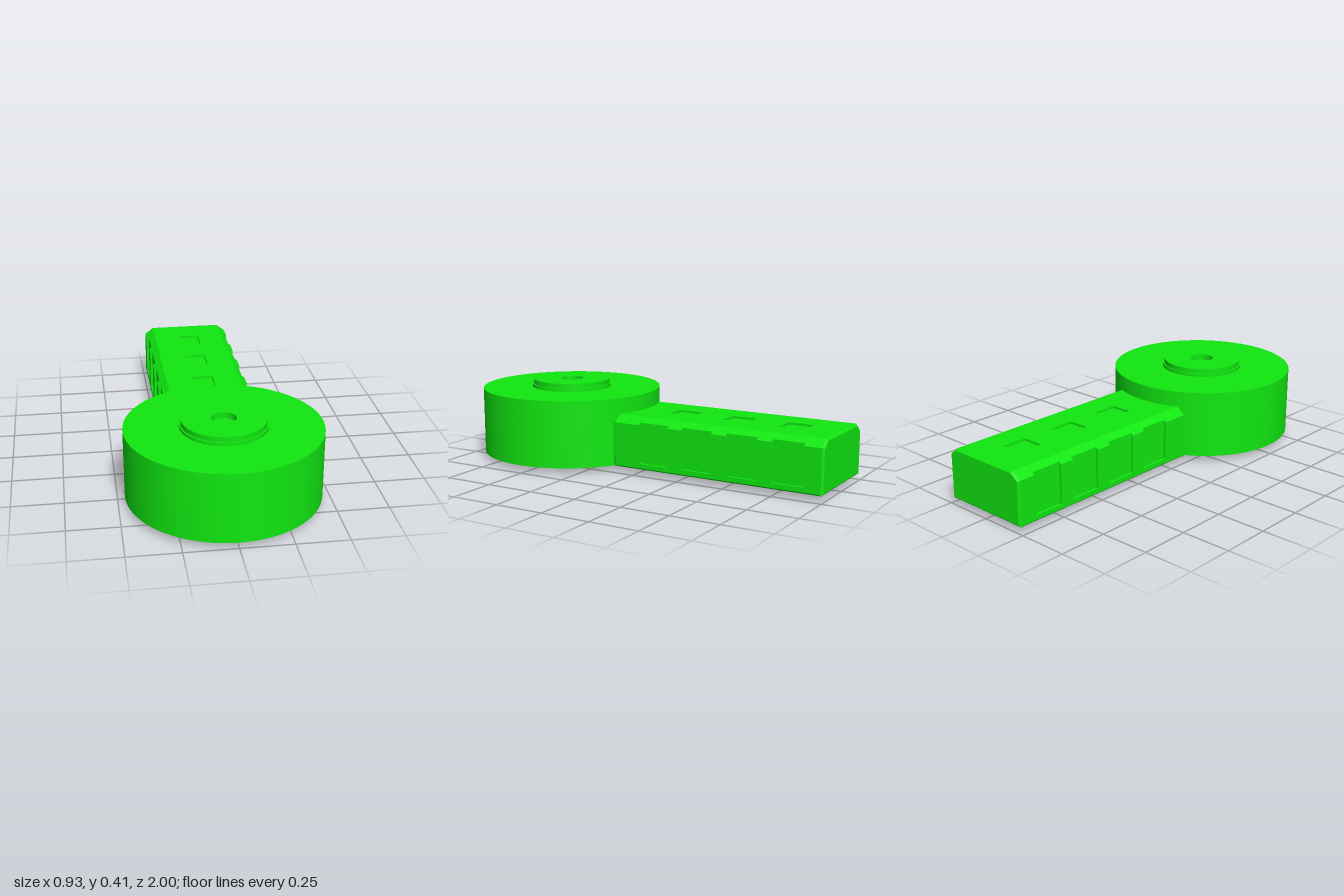
import * as THREE from 'three';
import { toCreasedNormals } from 'three/addons/utils/BufferGeometryUtils.js';

const green = new THREE.MeshStandardMaterial({ color: 0x10e810 });
const grey = new THREE.MeshStandardMaterial({ color: 0xcccccc });
const DRUM_Z = 0.533;

function add(parent, name, geometry, material = green) {
  const mesh = new THREE.Mesh(geometry, material);
  mesh.name = name;
  parent.add(mesh);
  return mesh;
}

// Cross-section in x, y carried along z
function prism(points, z0, z1, side = 1) {
  const pts = points.map(([x, y]) => new THREE.Vector2(x * side, y));
  const geo = new THREE.ExtrudeGeometry(new THREE.Shape(pts), { depth: z1 - z0, bevelEnabled: false });
  return geo.translate(0, 0, z0);
}

// Flat plan in x, z with its lower face at y0
function plate(shape, y0, height) {
  const geo = new THREE.ExtrudeGeometry(shape, { depth: height, bevelEnabled: false, curveSegments: 48 });
  return geo.rotateX(Math.PI / 2).translate(0, y0 + height, 0);
}

function arcBand(Type, r0, r1, mid, half) {
  const band = new Type();
  band.absarc(0, 0, r1, mid - half, mid + half, false);
  band.absarc(0, 0, r0, mid + half, mid - half, true);
  band.closePath();
  return band;
}

function rectangle(Type, x0, z0, x1, z1) {
  return new Type([[x0, z0], [x1, z0], [x1, z1], [x0, z1]].map(([x, z]) => new THREE.Vector2(x, z)));
}

function createDrum() {
  const drum = new THREE.Group();
  drum.name = 'drum';
  drum.position.z = DRUM_Z;

  // Foot, wall, stepped collar and the two shallow centre holes
  const profile = [
    [0, 0.03], [0.043, 0.03], [0.043, 0], [0.313, 0], [0.313, 0.05], [0.46, 0.05],
    [0.46, 0.03], [0.467, 0.03], [0.467, 0.37], [0.208, 0.37], [0.208, 0.385],
    [0.2, 0.385], [0.2, 0.41], [0.059, 0.41], [0.059, 0.38], [0, 0.38],
  ].map(([r, y]) => new THREE.Vector2(r, y));
  add(drum, 'drumBody', toCreasedNormals(new THREE.LatheGeometry(profile, 96), 0.6));

  // Underside ring with four diagonal grooves and six curved slots
  const ring = new THREE.Shape();
  ring.absarc(0, 0, 0.461, 0, Math.PI * 2, false);
  const inner = new THREE.Path();
  inner.absarc(0, 0, 0.312, 0, Math.PI * 2, true);
  ring.holes.push(inner);
  for (let i = 0; i < 4; i++) {
    const middle = i * Math.PI / 2;
    ring.holes.push(arcBand(THREE.Path, 0.318, 0.457, middle + Math.PI / 4, 0.045));
    if (i === 3) continue; // the handle side has no slots
    for (const s of [-1, 1]) {
      const angle = middle + s * Math.PI / 8;
      ring.holes.push(arcBand(THREE.Path, 0.395, 0.425, angle, 0.165));
      add(drum, 'slotInsert', plate(arcBand(THREE.Shape, 0.395, 0.425, angle, 0.165), 0.034, 0.016), grey);
    }
  }
  add(drum, 'undersideRing', plate(ring, 0.03, 0.02));
  return drum;
}

function createHandle() {
  const handle = new THREE.Group();
  handle.name = 'handle';
  const back = -0.99, front = 0.11;

  // Core, reaching up to the floor of the top windows
  const core = [[-0.222, 0.03], [0.222, 0.03], [0.222, 0.265], [0.205, 0.278], [-0.205, 0.278], [-0.222, 0.265]];
  add(handle, 'handleCore', prism(core, back, front));

  // Top skin with three windows
  const top = rectangle(THREE.Shape, -0.19, back, 0.19, front);
  for (const z of [-0.166, -0.467, -0.766]) {
    top.holes.push(rectangle(THREE.Path, -0.055, z - 0.065, 0.055, z + 0.065));
  }
  add(handle, 'handleTop', plate(top, 0.278, 0.012));

  // Sides: chamfered upper edge, lower rail and ribs between four recessed panels
  const upperEdge = [[0.18, 0.27], [0.222, 0.255], [0.222, 0.265], [0.19, 0.29], [0.18, 0.29]];
  const rail = [[0.18, 0.03], [0.228, 0.03], [0.235, 0.037], [0.235, 0.06], [0.18, 0.06]];
  const rib = [[0.18, 0.03], [0.228, 0.03], [0.235, 0.037], [0.235, 0.255], [0.19, 0.29], [0.18, 0.29]];
  const ribSpans = [[-0.03, front], [-0.27, -0.19], [-0.51, -0.43], [-0.745, -0.67], [back, -0.905]];
  for (const side of [1, -1]) {
    add(handle, 'upperEdge', prism(upperEdge, back, front, side));
    add(handle, 'lowerRail', prism(rail, back, front, side));
    for (const [z0, z1] of ribSpans) add(handle, 'gripRib', prism(rib, z0, z1, side));
  }

  // Bevelled end blocks
  const outline = [[-0.235, 0.03], [0.235, 0.03], [0.235, 0.255], [0.19, 0.29], [-0.19, 0.29], [-0.235, 0.255]];
  const endShape = new THREE.Shape(outline.map(([x, y]) => new THREE.Vector2(x, y)));
  for (const z of [back, front - 0.005]) {
    const geo = new THREE.ExtrudeGeometry(endShape, {
      depth: 0.005, bevelThickness: 0.01, bevelSize: 0.01, bevelOffset: -0.01, bevelSegments: 1,
    });
    add(handle, 'handleEnd', geo.translate(0, 0, z));
  }
  return handle;
}

export function createModel() {
  const model = new THREE.Group();
  model.name = 'drumWithHandle';
  model.add(createDrum(), createHandle());
  return model;
}
